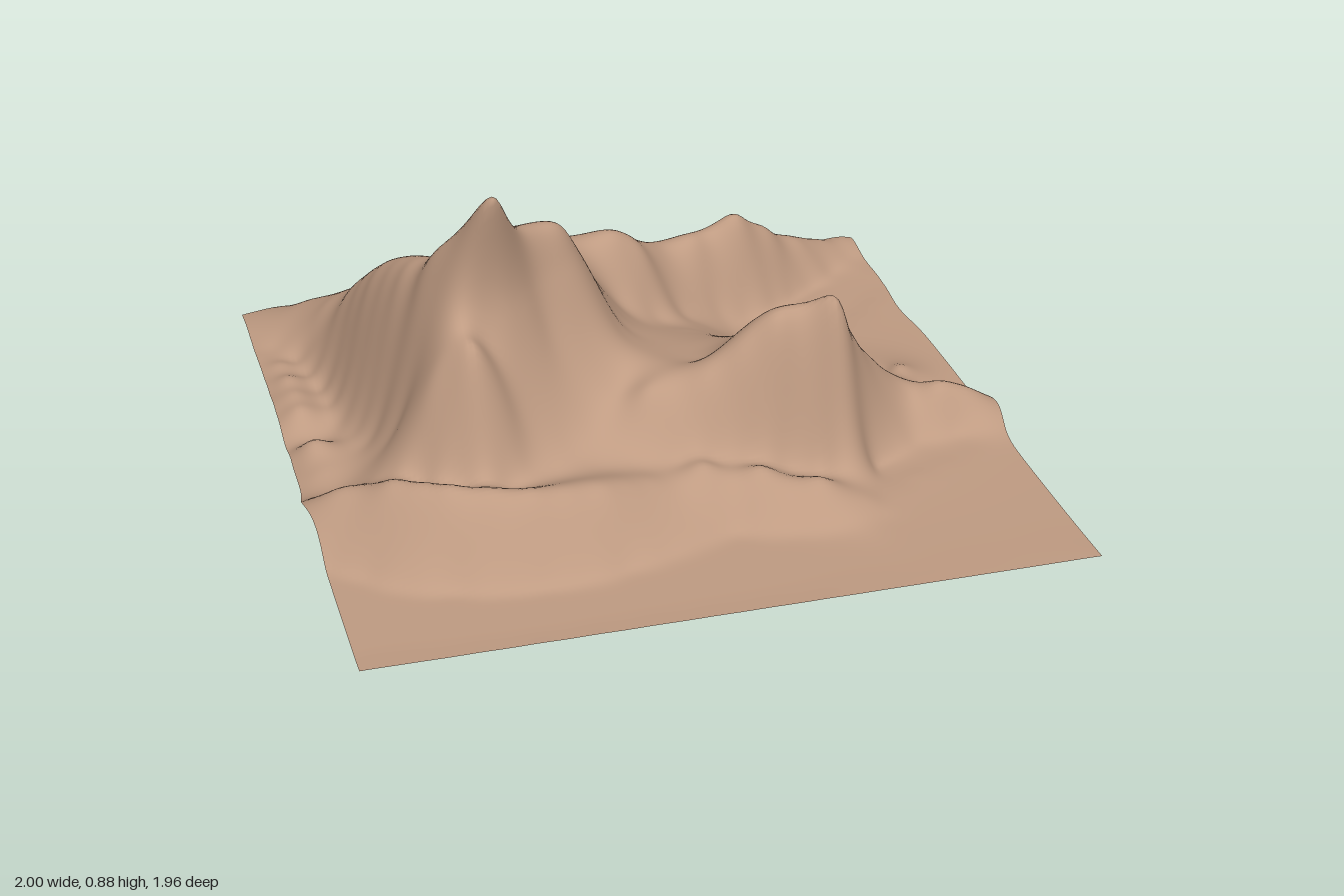
import * as THREE from 'three';

const HALF = 0.98, CELLS = 150, ROUND = 0.035, STEP = 0.16;

// A feature line is a few [x, z, height] points; long spans get extra points.
function trace(points) {
  const out = [points[0]];
  for (let i = 1; i < points.length; i++) {
    const a = points[i - 1], b = points[i];
    const n = Math.max(1, Math.ceil(Math.hypot(b[0] - a[0], b[1] - a[1]) / STEP));
    for (let k = 1; k <= n; k++) out.push(a.map((v, j) => v + (b[j] - v) * k / n));
  }
  return out;
}

// Crests
const leftCrest = [[-.46, .14, .89], [-.52, .1, .76], [-.6, .04, .62], [-.65, -.1, .5],
  [-.7, -.3, .4], [-.74, -.5, .27], [-.78, -.65, .17], [-.8, -.85, .1], [-.84, -.97, .03]];
const rightCrest = [[-.46, .14, .89], [-.39, .08, .76], [-.31, 0, .68], [-.21, -.04, .65],
  [-.14, -.12, .52], [-.1, -.25, .42], [-.06, -.38, .37], [.05, -.45, .39], [.14, -.45, .32],
  [.2, -.57, .28], [.35, -.62, .25], [.5, -.67, .29], [.62, -.72, .2], [.74, -.8, .12],
  [.85, -.92, .06], [.95, -.97, .03]];
const backSpine = [[-.24, -.12, .61], [-.28, -.22, .52], [-.3, -.37, .43], [-.28, -.48, .4],
  [-.25, -.62, .31], [-.2, -.76, .19], [-.1, -.88, .09]];
const shoulder = [[-.72, .2, .22], [-.65, .3, .37], [-.54, .34, .49], [-.47, .35, .36], [-.42, .33, .28]];
const frontLip = [[-.98, .26, .07], [-.9, .33, .14], [-.78, .42, .2], [-.65, .53, .22],
  [-.45, .59, .2], [-.25, .57, .17], [-.1, .5, .13], [.05, .46, .14], [.2, .5, .13],
  [.35, .55, .1], [.48, .6, .03]];
const smallRidge = [[-.05, .27, .27], [.1, .31, .29], [.2, .32, .35], [.3, .33, .42],
  [.4, .33, .43], [.47, .34, .49], [.55, .25, .33], [.63, .17, .22], [.71, .1, .13], [.78, -.03, .08]];
const smallRidgeBack = [[.45, .2, .38], [.42, 0, .25], [.42, -.2, .1], [.45, -.3, .05]];
const sideKnoll = [[.75, .19, .1], [.82, .2, .13], [.9, .2, .1], [.98, .18, .045]];

// Feet, hollows and slopes
const leftFoot = [[-.7, .13, .22], [-.74, 0, .13], [-.79, -.2, .08], [-.82, -.4, .05], [-.87, -.6, .03]];
const leftStrip = [[-.92, .08, .05], [-.92, -.05, .08], [-.9, -.13, .02], [-.92, -.25, .07],
  [-.92, -.45, .07], [-.92, -.7, .03]];
const rightFoot = [[-.06, 0, .33], [0, -.2, .27], [.03, -.34, .24], [.15, -.37, .17], [.25, -.45, .12],
  [.4, -.55, .07], [.6, -.62, .03], [.75, -.7, 0], [.95, -.85, 0]];
const faceTop = [[-.48, .23, .5], [-.39, .2, .52], [-.3, .14, .46], [-.18, .09, .41]];
const faceFoot = [[-.42, .39, .19], [-.28, .32, .18], [-.2, .27, .2], [-.1, .2, .25], [.02, .12, .28]];
const shelf = [[-.9, .2, .05], [-.78, .31, .14], [-.6, .43, .16], [-.48, .45, .15], [-.2, .4, .13],
  [0, .4, .12], [.2, .4, .12], [.4, .41, .1], [.55, .37, .05], [.72, .29, .02], [.85, .28, .02]];
const basin = [[.15, .15, .28], [.2, -.05, .23], [.22, -.25, .16], [.3, -.4, .09]];
const backSlopeLeft = [[-.48, -.05, .57], [-.48, -.2, .5], [-.5, -.5, .32], [-.5, -.75, .17]];
const backSlopeRight = [[.02, -.65, .26], [.3, -.8, .14], [.5, -.85, .09]];
const rightFlat = [[.84, .05, .03], [.66, -.12, .06], [.65, -.35, 0], [.9, -.55, 0]];
const frontFoot = [[-.98, .5, 0], [-.8, .66, 0], [-.55, .74, 0], [-.35, .75, 0], [-.1, .69, 0],
  [.1, .62, 0], [.25, .67, 0], [.45, .72, 0], [.56, .6, 0], [.65, .45, 0], [.97, .36, 0]];

// Borders
const backEdge = [[-.98, -.98, .01], [-.5, -.98, .02], [.3, -.98, .02], [.98, -.98, .02]];
const leftEdge = [[-.98, -.8, .02], [-.98, -.3, .03], [-.98, -.13, .01], [-.98, .1, .02]];
const rightEdge = [[.98, -.75, 0], [.98, -.3, 0], [.98, .05, 0]];
const frontEdge = [[-.98, .98, 0], [.98, .98, 0]];

// Fits a smooth surface through all points and returns its height function.
function fitSurface(points) {
  const n = points.length;
  const kernel = (x, z, p) => Math.sqrt((x - p[0]) ** 2 + (z - p[1]) ** 2 + ROUND * ROUND);
  const m = points.map((p, i) => {
    const row = points.map((q, j) => kernel(p[0], p[1], q) - (i === j ? 0.004 : 0));
    row.push(p[2]);
    return row;
  });
  for (let c = 0; c < n; c++) {
    let best = c;
    for (let r = c + 1; r < n; r++) if (Math.abs(m[r][c]) > Math.abs(m[best][c])) best = r;
    [m[c], m[best]] = [m[best], m[c]];
    for (let r = c + 1; r < n; r++) {
      const f = m[r][c] / m[c][c];
      for (let k = c; k <= n; k++) m[r][k] -= f * m[c][k];
    }
  }
  const w = new Array(n).fill(0);
  for (let r = n - 1; r >= 0; r--) {
    let s = m[r][n];
    for (let k = r + 1; k < n; k++) s -= m[r][k] * w[k];
    w[r] = s / m[r][r];
  }
  return (x, z) => points.reduce((sum, p, i) => sum + w[i] * kernel(x, z, p), 0);
}

const bump = (v, centre, width) => Math.exp(-(((v - centre) / width) ** 2));

export function createModel() {
  const lines = [leftCrest, rightCrest.slice(1), backSpine, shoulder, frontLip, smallRidge,
    smallRidgeBack, sideKnoll, leftFoot, leftStrip, rightFoot, faceTop, faceFoot, shelf, basin,
    backSlopeLeft, backSlopeRight, rightFlat, frontFoot, backEdge, leftEdge, rightEdge, frontEdge];
  const height = fitSurface(lines.flatMap(trace));

  const geometry = new THREE.PlaneGeometry(2 * HALF, 2 * HALF, CELLS, CELLS).rotateX(-Math.PI / 2);
  const pos = geometry.attributes.position;
  for (let i = 0; i < pos.count; i++) {
    const x = pos.getX(i), z = pos.getZ(i);
    const h = height(x, z);
    // soft floor keeps the plain flat
    const y = h > 0.02 ? h : h < -0.02 ? 0 : (h + 0.02) ** 2 / 0.08;
    // the summit leans forward over the cliff
    const lean = 0.11 * Math.max(0, (y - 0.55) / 0.32) ** 1.5;
    // wavy side borders
    const left = -0.02 * bump(z, 0.27, 0.1) * bump(x, -HALF, 0.1);
    const right = (0.02 * bump(z, 0.2, 0.1) - 0.015 * bump(z, -0.5, 0.12)) * bump(x, HALF, 0.1);
    pos.setXYZ(i, x + left + right, y, z + lean);
  }
  geometry.computeVertexNormals();

  const terrain = new THREE.Mesh(geometry, new THREE.MeshStandardMaterial({
    color: 0xbf9b82, side: THREE.DoubleSide }));
  terrain.name = 'mountainTerrain';
  const group = new THREE.Group();
  group.name = 'mountainLandscape';
  group.add(terrain);
  return group;
}
